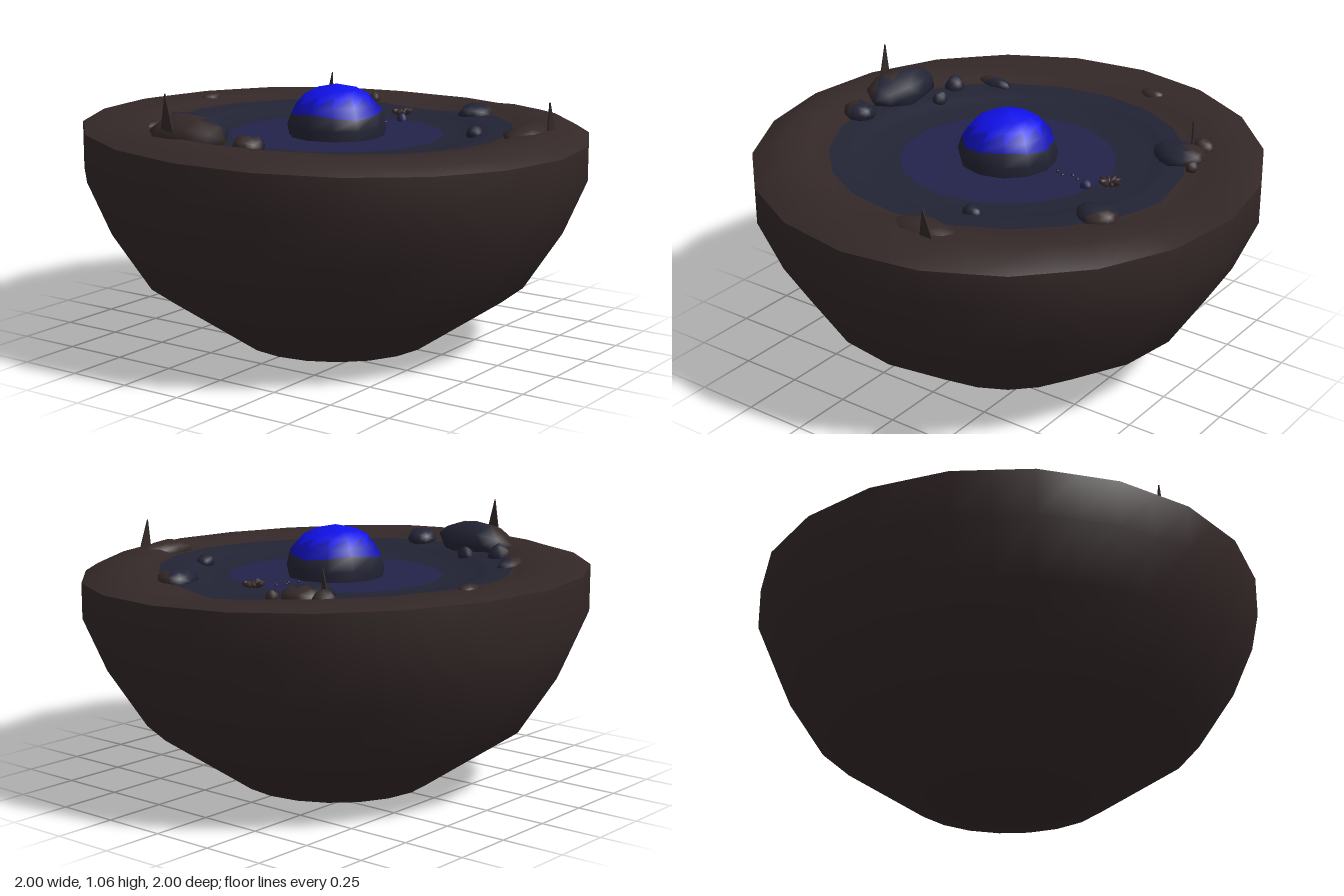
import * as THREE from 'three';
import { mergeVertices } from 'three/addons/utils/BufferGeometryUtils.js';

const material = (name, color) => {
  const m = new THREE.MeshStandardMaterial({ color, side: THREE.DoubleSide });
  m.name = name;
  return m;
};

export function createModel() {
  const group = new THREE.Group();
  const palette = [
    material('brown rock', 0x342828),
    material('dusky blue rock', 0x222334),
    material('navy floor', 0x23224a),
    material('bright blue', 0x1010e8),
    material('deep blue', 0x1010b4),
  ];
  const add = (name, geometry, parent = group) => {
    const mesh = new THREE.Mesh(geometry, palette);
    mesh.name = name;
    parent.add(mesh);
    return mesh;
  };

  // Sorts the faces of an indexed geometry into colour zones by face centre
  function paint(geo, zone) {
    const p = geo.attributes.position, old = geo.index.array;
    const lists = palette.map(() => []);
    for (let i = 0; i < old.length; i += 3) {
      const t = [old[i], old[i + 1], old[i + 2]];
      const mid = (get) => t.reduce((s, v) => s + get(v), 0) / 3;
      lists[zone(mid((v) => p.getX(v)), mid((v) => p.getY(v)), mid((v) => p.getZ(v)))].push(...t);
    }
    geo.setIndex(lists.flat());
    geo.clearGroups();
    let start = 0;
    lists.forEach((l, m) => {
      if (l.length) geo.addGroup(start, l.length, m);
      start += l.length;
    });
    geo.computeVertexNormals();
    return geo;
  }

  // Surface through closed rings; point(ring, angle) gives [radius, height]
  function ringSurface(rings, segs, point, zone) {
    const pos = [], index = [];
    for (let i = 0; i < rings; i++) {
      for (let j = 0; j < segs; j++) {
        const a = (j / segs) * Math.PI * 2;
        const [r, y] = point(i, a);
        pos.push(r * Math.sin(a), y, r * Math.cos(a));
        if (i === rings - 1) continue;
        const k = (j + 1) % segs, A = i * segs, B = A + segs;
        index.push(A + j, A + k, B + k, A + j, B + k, B + j);
      }
    }
    const geo = new THREE.BufferGeometry();
    geo.setAttribute('position', new THREE.Float32BufferAttribute(pos, 3));
    geo.setIndex(index);
    return paint(geo, zone);
  }

  // Colour of the ground by distance from the middle
  const groundZone = (x, y, z) => {
    const r = Math.hypot(x, z);
    return r < 0.425 ? 2 : r < 0.7 ? 1 : 0;
  };
  // Keeps the outline a twenty-sided polygon
  const side = Math.PI / 10;
  const chord = (a) => {
    const d = ((a + 1e-6) % side) - side / 2;
    return Math.cos(side / 2) / Math.cos(d);
  };
  const dip = (a) => Math.exp(-(((a - Math.PI / 2) / 0.25) ** 2)) * 0.03;
  const rimY = (a) => 0.85 - 0.025 * Math.cos(a) - 0.008 * Math.sin(a);
  const crownY = (a) => 0.882 - 0.012 * Math.sin(a) + 0.006 * Math.sin(3 * a) - dip(a);

  // Outer bowl
  const bowl = [[0, 0], [0.39, 0], [0.76, 0.25], [0.91, 0.48], [1, 0.69], [1, null]];
  add('bowl', ringSurface(bowl.length, 40,
    (i, a) => [bowl[i][0] * chord(a), bowl[i][1] ?? rimY(a)], () => 0));

  // Terraced basin: radius and drop below the crown
  const basin = [[1, 0], [0.95, 0.005], [0.88, 0], [0.79, 0.002], [0.755, 0.02], [0.7, 0.024],
    [0.63, 0.028], [0.59, 0.034], [0.55, 0.05], [0.425, 0.055], [0.25, 0.06], [0, 0.06]];
  add('basin', ringSurface(basin.length, 40, (i, a) => {
    const [r, drop] = basin[i];
    if (i === 0) return [chord(a), rimY(a)];
    const wobble = r > 0.45 && r < 0.9 && i !== 5 ? 0.02 * Math.sin(2 * a + r * 5) : 0;
    const blend = Math.min(1, Math.max(0, (r - 0.5) / 0.3));
    const y = 0.88 * (1 - blend) + crownY(a) * blend - drop;
    return [(r + wobble) * chord(a), i === 1 ? (y + rimY(a)) / 2 + 0.006 : y];
  }, groundZone));

  // Glowing dome in its dark rock cup
  const dome = [[0.185, 0.8], [0.197, 0.86], [0.182, 0.91], [0.16, 0.945],
    [0.13, 0.98], [0.085, 1.004], [0, 1.022]];
  add('dome', ringSurface(dome.length, 12, (i, a) => {
    const [r, y] = dome[i];
    return [r, i === 2 ? y + 0.01 * Math.sin(3 * a) : y];
  }, (x, y) => (y < 0.91 ? 1 : y < 0.96 ? 4 : 3)));

  // Boulders: x, y, z, then half sizes
  const boulders = [
    [-0.69, 0.89, -0.19, 0.11, 0.09, 0.17],
    [-0.68, 0.88, 0.09, 0.065, 0.045, 0.06],
    [-0.56, 0.87, -0.39, 0.037, 0.045, 0.045],
    [-0.53, 0.86, -0.25, 0.03, 0.035, 0.035],
    [0.57, 0.855, -0.35, 0.11, 0.05, 0.09],
    [0.61, 0.86, -0.46, 0.043, 0.04, 0.043],
    [0.67, 0.86, -0.27, 0.024, 0.025, 0.024],
    [0.6, 0.85, 0.28, 0.085, 0.045, 0.07],
    [0.21, 0.845, 0.51, 0.037, 0.03, 0.033],
    [0.18, 0.865, 0.76, 0.14, 0.04, 0.075],
    [0.18, 0.875, -0.78, 0.055, 0.025, 0.032],
    [-0.45, 0.855, -0.53, 0.08, 0.035, 0.035],
    [0.4, 0.83, 0.05, 0.022, 0.025, 0.022],
  ];
  const rocks = new THREE.Group();
  rocks.name = 'boulders';
  group.add(rocks);
  boulders.forEach(([x, y, z, sx, sy, sz], n) => {
    let geo = new THREE.IcosahedronGeometry(1, 1);
    geo.deleteAttribute('uv');
    geo.deleteAttribute('normal');
    geo = mergeVertices(geo, 1e-4);
    const p = geo.attributes.position;
    for (let i = 0; i < p.count; i++) {
      const k = 1 + 0.1 * Math.sin(i * 2.7 + n * 1.9);
      p.setXYZ(i, p.getX(i) * k, p.getY(i) * k, p.getZ(i) * k);
    }
    geo.scale(sx, sy, sz);
    geo.translate(x, y, z);
    add('boulder', paint(geo, groundZone), rocks);
  });

  // Thin pointed shards: position, height, base width, turn, lean
  for (const [x, y, z, h, w, turn, lean] of [
    [-0.79, 0.87, -0.2, 0.19, 0.08, Math.PI / 2, 0.01],
    [0.25, 0.83, 0.82, 0.16, 0.08, 0, -0.02],
    [0.575, 0.87, -0.44, 0.1, 0.03, Math.PI / 2, -0.01],
  ]) {
    const shape = new THREE.Shape([
      new THREE.Vector2(-w / 2, 0), new THREE.Vector2(w / 2, 0), new THREE.Vector2(lean, h)]);
    const geo = new THREE.ExtrudeGeometry(shape, { depth: 0.006, bevelEnabled: false });
    const shard = new THREE.Mesh(geo, palette[0]);
    shard.name = 'shard';
    shard.position.set(x, y, z);
    shard.rotation.y = turn;
    group.add(shard);
  }

  // Small star-shaped sprout and a trail of crumbs
  const sprout = new THREE.Group();
  sprout.name = 'sprout';
  sprout.position.set(0.475, 0.838, 0);
  for (let i = 0; i < 8; i++) {
    const a = (i / 8) * Math.PI * 2;
    const leaf = new THREE.Mesh(new THREE.SphereGeometry(0.012, 6, 4), palette[0]);
    leaf.name = 'leaf';
    leaf.scale.set(1.8, 1, 0.7);
    leaf.position.set(Math.cos(a) * 0.025, 0.01, Math.sin(a) * 0.025);
    leaf.rotation.set(0, -a, 0.4);
    sprout.add(leaf);
  }
  group.add(sprout);
  for (let i = 0; i < 4; i++) {
    const crumb = new THREE.Mesh(new THREE.IcosahedronGeometry(0.008, 0), palette[1]);
    crumb.name = 'crumb';
    crumb.position.set(0.23 + i * 0.035, 0.824, i % 2 ? 0.01 : -0.01);
    group.add(crumb);
  }
  return group;
}
